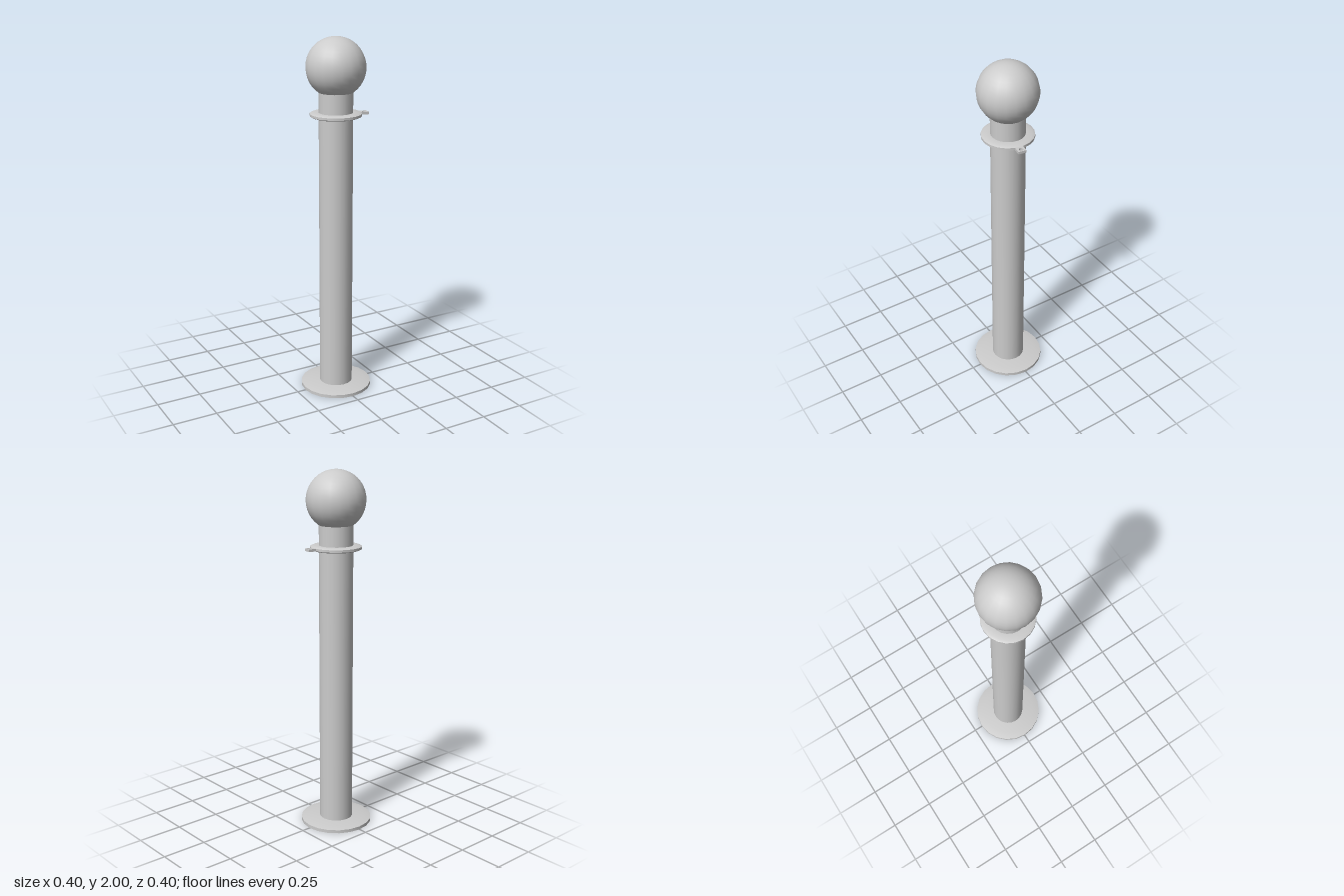
import * as THREE from 'three';
import { toCreasedNormals } from 'three/addons/utils/BufferGeometryUtils.js';

const SIDES = 20;

export function createModel() {
  const group = new THREE.Group();
  const material = new THREE.MeshStandardMaterial({ color: 0xcccccc });

  const add = (name, geometry) => {
    const mesh = new THREE.Mesh(geometry, material);
    mesh.name = name;
    group.add(mesh);
    return mesh;
  };

  // Turned part from [radius, height] pairs, bottom to top, with crisp rims
  const turned = (profile) => toCreasedNormals(
    new THREE.LatheGeometry(profile.map(([r, y]) => new THREE.Vector2(r, y)), SIDES), Math.PI / 6);

  // Foot plate with a gently sloping top
  add('basePlate', turned([[0, 0], [0.2, 0], [0.2, 0.018], [0.16, 0.026], [0, 0.026]]));

  // Post, running up into the ball
  add('post', new THREE.CylinderGeometry(0.093, 0.093, 1.7, SIDES)).position.y = 0.87;

  // Ball finial
  add('ball', new THREE.SphereGeometry(0.162, SIDES, 20)).position.y = 1.838;

  // Collar ring with bevelled faces
  add('collar', turned([
    [0.09, 1.573], [0.128, 1.573], [0.141, 1.579],
    [0.141, 1.592], [0.128, 1.598], [0.09, 1.598],
  ]));

  // Pierced lug on one facet of the collar
  const lug = new THREE.Shape([
    new THREE.Vector2(0.13, -0.022), new THREE.Vector2(0.181, -0.022),
    new THREE.Vector2(0.181, 0.022), new THREE.Vector2(0.13, 0.022),
  ]);
  lug.holes.push(new THREE.Path().absarc(0.164, 0, 0.012, 0, Math.PI * 2, true));
  const lugGeometry = new THREE.ExtrudeGeometry(lug, { depth: 0.014, bevelEnabled: false, curveSegments: 8 });
  lugGeometry.rotateX(Math.PI / 2);
  const lugMesh = add('chainLug', lugGeometry);
  lugMesh.position.y = 1.5925;
  lugMesh.rotation.y = -Math.PI / SIDES;

  return group;
}
